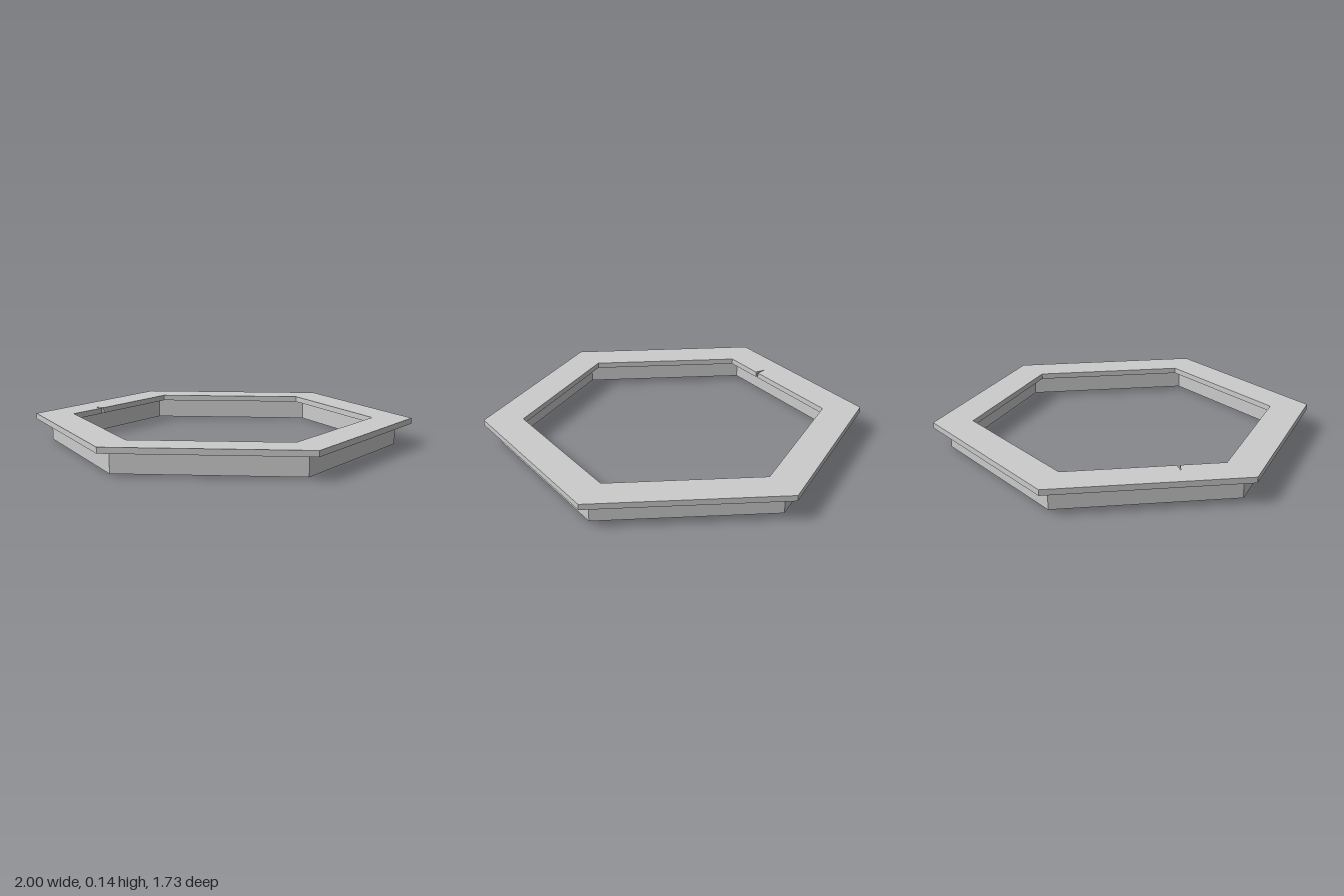
import * as THREE from 'three';

const material = new THREE.MeshStandardMaterial({ color: 0xcccccc, flatShading: true });

// Six corners, the first on +x
function hexagon(radius) {
  return Array.from({ length: 6 }, (_, i) => {
    const a = (i * Math.PI) / 3;
    return new THREE.Vector2(radius * Math.cos(a), radius * Math.sin(a));
  });
}

// Horizontal ring between two outlines, from yBottom to yTop
function ring(name, outer, inner, yBottom, yTop) {
  const shape = new THREE.Shape(outer);
  shape.holes.push(new THREE.Path(inner));
  const geometry = new THREE.ExtrudeGeometry(shape, { depth: yTop - yBottom, bevelEnabled: false });
  geometry.rotateX(Math.PI / 2).translate(0, yTop, 0);
  const mesh = new THREE.Mesh(geometry, material);
  mesh.name = name;
  return mesh;
}

export function createModel() {
  const model = new THREE.Group();
  model.name = 'hexagonalFrame';

  // Wide top flange, with a small nick in the inner edge at the back right
  const flangeInner = hexagon(0.795);
  flangeInner.splice(4, 0,
    new THREE.Vector2(-0.682, -0.195),
    new THREE.Vector2(-0.73, -0.23),
    new THREE.Vector2(-0.674, -0.21));
  model.add(ring('topFlange', hexagon(1), flangeInner, 0.11, 0.14));

  // Thin wall standing under the middle of the flange
  model.add(ring('lowerWall', hexagon(0.914), hexagon(0.873), 0, 0.11));

  return model;
}
